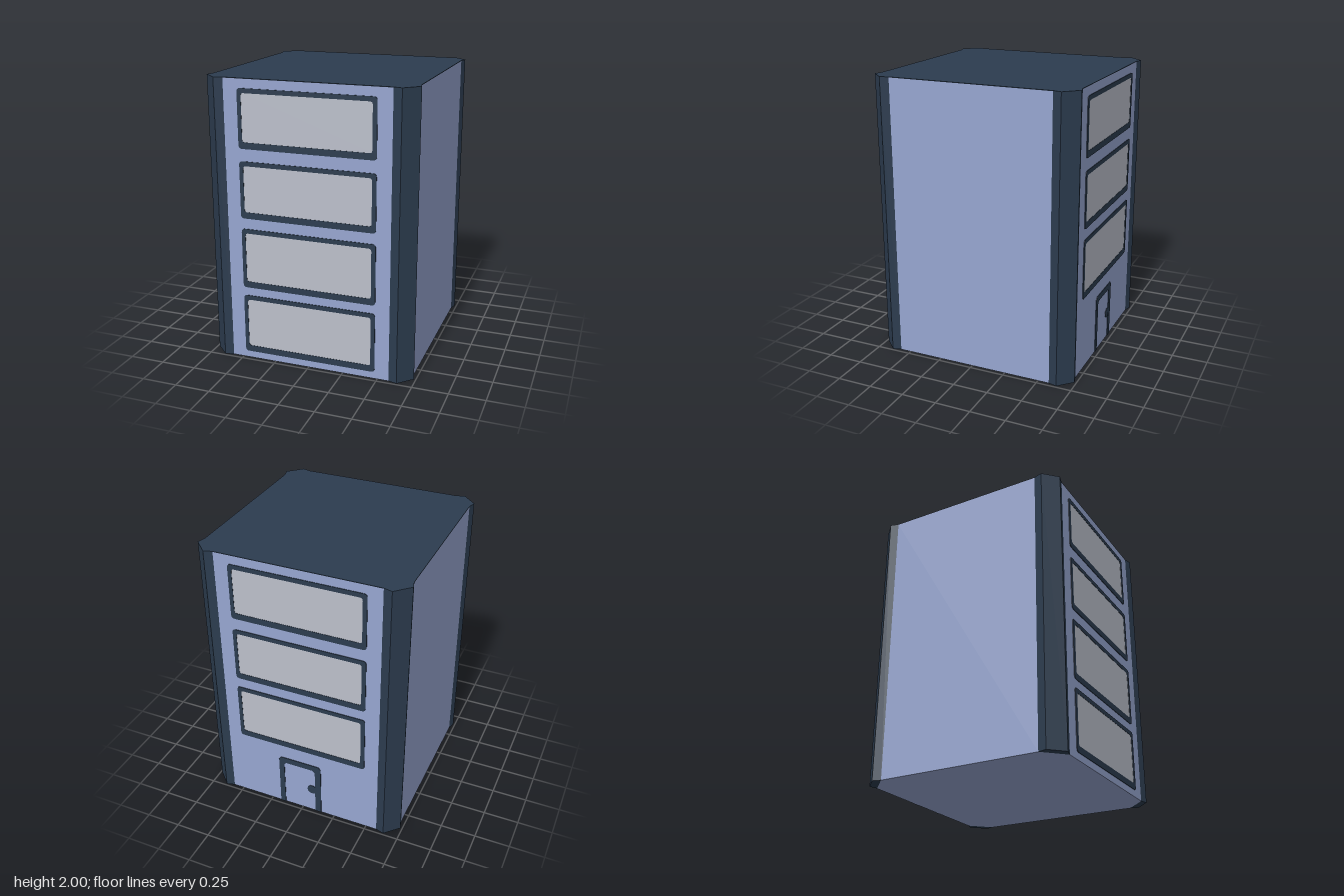
import * as THREE from 'three';

const mat = (name, color) => {
  const m = new THREE.MeshStandardMaterial({ color });
  m.name = name;
  return m;
};

const HEIGHT = 2, FACE = 0.72, EDGE = 0.58, ROOF = 0.004;

const polygon = (points) => new THREE.Shape(points.map(([x, y]) => new THREE.Vector2(x, y)));

// Trace a rounded rectangle into a shape or path
function rounded(path, x0, y0, x1, y1, r) {
  path.moveTo(x0 + r, y0);
  path.lineTo(x1 - r, y0).quadraticCurveTo(x1, y0, x1, y0 + r);
  path.lineTo(x1, y1 - r).quadraticCurveTo(x1, y1, x1 - r, y1);
  path.lineTo(x0 + r, y1).quadraticCurveTo(x0, y1, x0, y1 - r);
  path.lineTo(x0, y0 + r).quadraticCurveTo(x0, y0, x0 + r, y0);
  return path;
}

function extrude(name, shape, depth, material, upright = false) {
  const geometry = new THREE.ExtrudeGeometry(shape, { depth, bevelEnabled: false, curveSegments: 5 });
  if (upright) geometry.rotateX(-Math.PI / 2);
  const mesh = new THREE.Mesh(geometry, material);
  mesh.name = name;
  return mesh;
}

export function createModel() {
  const blue = mat('wallBlue', 0x97a6d0);
  const dark = mat('darkSlate', 0x2c3c4f);
  const glass = mat('windowGrey', 0xbcc0cb);

  const model = new THREE.Group();
  model.name = 'towerBlock';

  // Walls and roof share an octagonal plan
  const plan = polygon([
    [EDGE, -FACE], [FACE, -EDGE], [FACE, EDGE], [EDGE, FACE],
    [-EDGE, FACE], [-FACE, EDGE], [-FACE, -EDGE], [-EDGE, -FACE],
  ]);
  const walls = extrude('walls', plan, HEIGHT - ROOF, blue, true);
  const roof = extrude('roof', plan, ROOF, dark, true);
  roof.position.y = HEIGHT - ROOF;
  model.add(walls, roof);

  // Flared posts on the four corners
  const postPlan = polygon([[FACE, EDGE], [0.737, 0.64], [0.64, 0.737], [EDGE, FACE]]);
  for (let i = 0; i < 4; i++) {
    const post = extrude('cornerPost', postPlan, HEIGHT, dark, true);
    post.rotation.y = i * Math.PI / 2;
    model.add(post);
  }

  // Framed window, as thin plates on a wall
  const rows = [[1.53, 1.935], [1.045, 1.445], [0.54, 0.97], [0.05, 0.48]];
  function makeWindow([y0, y1]) {
    const group = new THREE.Group();
    group.name = 'window';
    const frame = rounded(new THREE.Shape(), -0.48, y0, 0.48, y1, 0.025);
    frame.holes.push(rounded(new THREE.Path(), -0.452, y0 + 0.045, 0.45, y1 - 0.032, 0.02));
    const pane = rounded(new THREE.Shape(), -0.46, y0 + 0.035, 0.46, y1 - 0.025, 0.01);
    group.add(extrude('windowFrame', frame, 0.004, dark), extrude('windowPane', pane, 0.002, glass));
    return group;
  }

  const front = new THREE.Group();
  front.name = 'frontFace';
  front.position.z = FACE;
  rows.forEach((row) => front.add(makeWindow(row)));

  const back = new THREE.Group();
  back.name = 'backFace';
  back.position.z = -FACE;
  back.rotation.y = Math.PI;
  rows.slice(0, 3).forEach((row) => back.add(makeWindow(row)));

  // Door frame, open at the floor, with a round handle
  const doorFrame = polygon([
    [-0.18, 0], [-0.14, 0], [-0.14, 0.365], [-0.125, 0.385], [0.085, 0.385], [0.102, 0.365],
    [0.102, 0], [0.148, 0], [0.148, 0.41], [0.13, 0.43], [-0.16, 0.43], [-0.18, 0.41],
  ]);
  const knob = new THREE.Shape().absarc(0.078, 0.2, 0.038, 0, Math.PI * 2);
  back.add(extrude('doorFrame', doorFrame, 0.004, dark), extrude('doorHandle', knob, 0.003, dark));

  model.add(front, back);
  return model;
}
